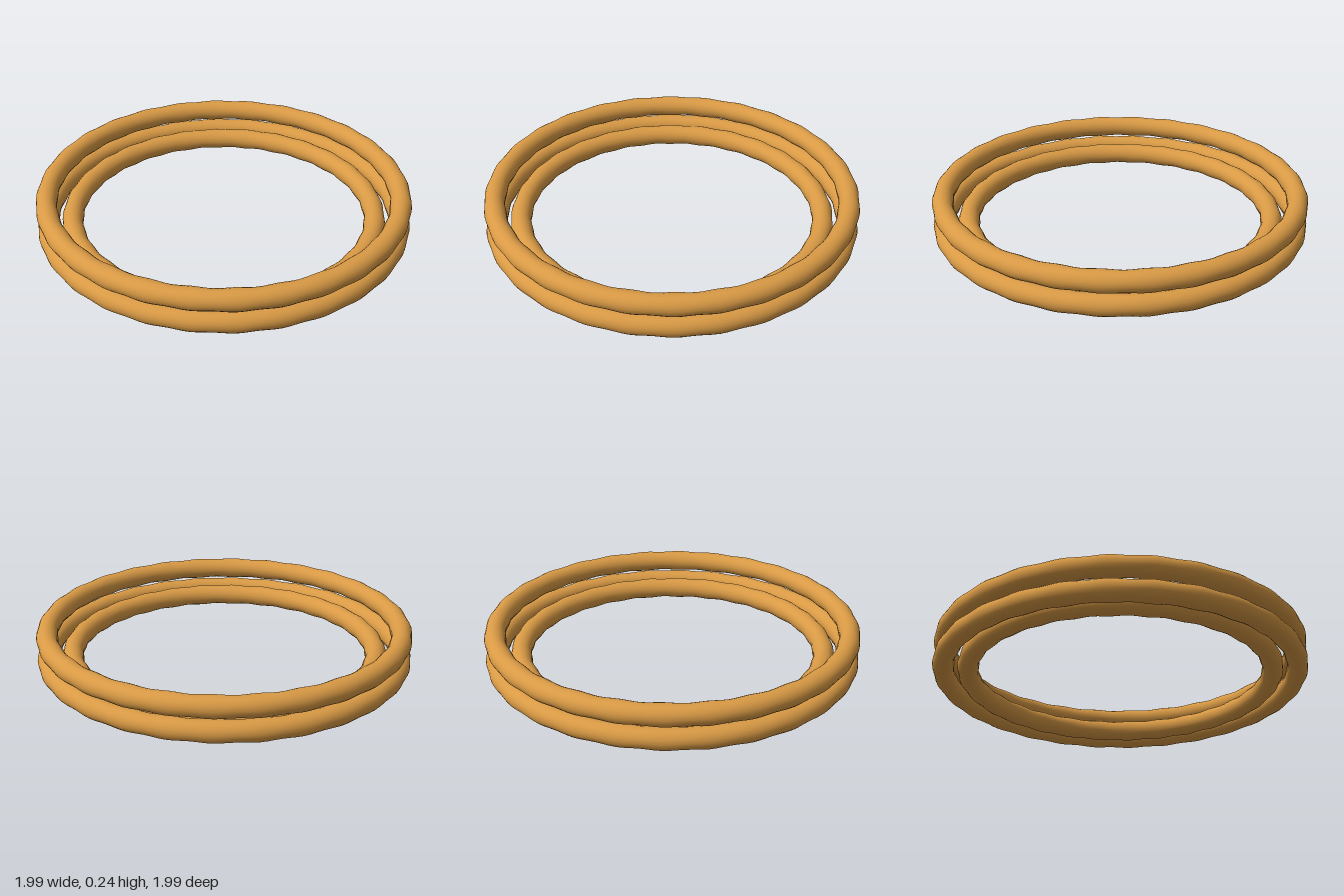
import * as THREE from 'three';

const BUMPS = 28;

// Torus lying flat, its tube swelling and narrowing gently along the ring
function rippledRing(radius, tube, ripple) {
  const geo = new THREE.TorusGeometry(radius, tube, 20, BUMPS * 6);
  const pos = geo.attributes.position;
  for (let i = 0; i < pos.count; i++) {
    const x = pos.getX(i), y = pos.getY(i), z = pos.getZ(i);
    const angle = Math.atan2(y, x);
    const s = 1 - (ripple / tube) * Math.cos(BUMPS * angle);
    const r = radius + (Math.hypot(x, y) - radius) * s;
    pos.setXYZ(i, r * Math.cos(angle), r * Math.sin(angle), z * s);
  }
  geo.rotateX(-Math.PI / 2);
  return geo;
}

export function createModel() {
  const group = new THREE.Group();
  group.name = 'stackedRings';
  const gold = new THREE.MeshStandardMaterial({ color: 0xd99a45 });
  gold.name = 'warm gold';

  // Two equal outer rings stacked, and a smaller one nested in the lower
  const rings = [
    ['lowerOuterRing', 0.942, 0.061],
    ['upperOuterRing', 0.942, 0.187],
    ['innerRing', 0.812, 0.061],
  ];
  for (const [name, radius, y] of rings) {
    const ring = new THREE.Mesh(rippledRing(radius, 0.0555, 0.0025), gold);
    ring.name = name;
    ring.position.y = y;
    group.add(ring);
  }
  return group;
}
